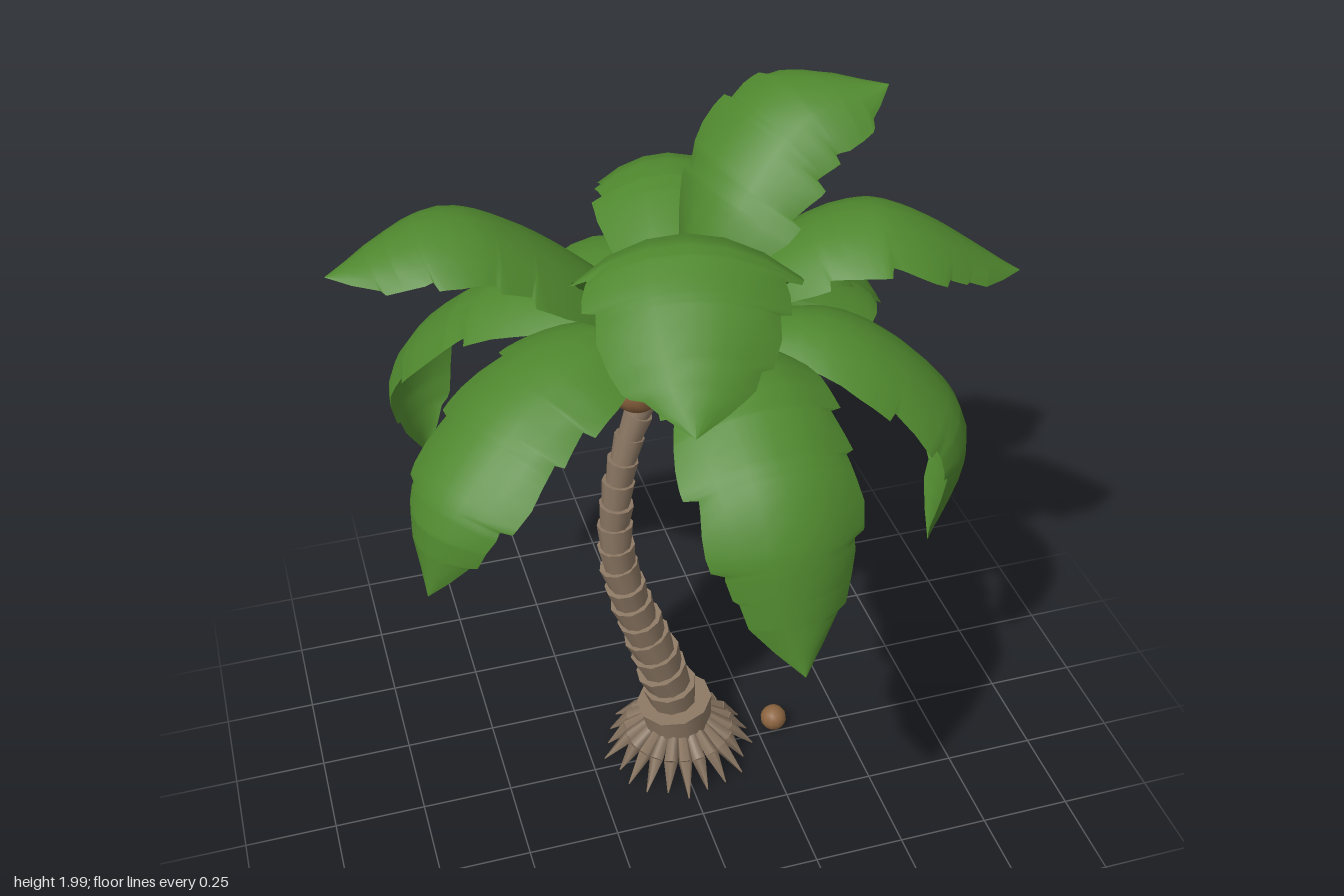
import * as THREE from 'three';

const V = (x, y, z) => new THREE.Vector3(x, y, z);
const CROWN = V(0, 1.41, -0.015);

// azimuth (degrees, 0 = +x, 90 = +z), midrib points [radius, height, sideways shift], half width, roll
const FRONDS = [
  { az: 180, rib: [[0.2, 1.66, 0.02], [0.52, 1.845, 0.03], [0.825, 1.76]], w: 0.2 },
  { az: 222, rib: [[0.2, 1.49], [0.53, 1.46], [0.82, 1.16], [0.77, 0.85]], w: 0.2 },
  { az: 151, rib: [[0.25, 1.59], [0.52, 1.55], [0.78, 1.34], [0.82, 1.12]], w: 0.2 },
  { az: 104, rib: [[0.12, 1.72], [0.42, 1.96], [0.82, 1.74]], w: 0.25 },
  { az: 87, rib: [[0.12, 1.52], [0.4, 1.635], [0.73, 1.46], [0.85, 1.07]], w: 0.21 },
  { az: 18, rib: [[0.2, 1.5], [0.42, 1.49], [0.72, 1.22], [0.66, 0.82]], w: 0.2 },
  { az: 10, rib: [[0.2, 1.67], [0.48, 1.77], [0.84, 1.58]], w: 0.19 },
  { az: -13, rib: [[0.13, 1.77, -0.04], [0.35, 1.97, -0.06], [0.58, 1.98]], w: 0.2, roll: 0.3 },
  { az: -76, rib: [[0.18, 1.56], [0.48, 1.67], [0.87, 1.48]], w: 0.205 },
  { az: -40, rib: [[0.2, 1.49], [0.53, 1.47], [0.82, 1.22], [0.76, 0.92]], w: 0.2 },
  { az: -98, rib: [[0.25, 1.51], [0.55, 1.44], [0.77, 1.12], [0.68, 0.81]], w: 0.185 },
];

const COCONUTS = [
  [0.11, 1.3, -0.14], [-0.015, 1.335, -0.14], [-0.105, 1.33, 0],
  [0.11, 1.295, -0.045], [-0.01, 1.32, 0.045], [0.04, 1.285, -0.09],
];

// half-width along the frond, 0..1
const PROFILE = [0.16, 0.34, 0.57, 0.78, 0.93, 1, 1, 0.95, 0.84, 0.58, 0];
function widthAt(t) {
  const f = Math.min(t * 10, 9.9999), i = Math.floor(f);
  return THREE.MathUtils.lerp(PROFILE[i], PROFILE[i + 1], f - i);
}

// arched leaf blade with torn, saw-toothed edges
function frondGeometry({ az, rib, w, roll = 0 }, seed) {
  const a = THREE.MathUtils.degToRad(az);
  const out = V(Math.cos(a), 0, Math.sin(a));
  const level = V(-Math.sin(a), 0, Math.cos(a));
  const curve = new THREE.CatmullRomCurve3([
    CROWN, ...rib.map(([r, y, s = 0]) => V(0, y, 0).addScaledVector(out, r).addScaledVector(level, s))]);

  const notches = [-1, 1].map(s => [0.46, 0.62, 0.76, 0.88].map(
    (t, i) => t + 0.035 * Math.sin(seed * 3.1 + i * 2.3 + s)));
  const rows = [];
  for (let i = 0; i <= 20; i++) rows.push(i / 20);
  notches.flat().forEach(t => rows.push(t - 0.004, t + 0.004));
  rows.sort((p, q) => p - q);

  const tear = (t, side) => {
    const last = notches[side].filter(n => n < t).pop();
    return last === undefined ? 1 : 1 - 0.15 * Math.max(0, 1 - (t - last) / 0.13);
  };

  const cols = 6, pos = [], index = [];
  rows.forEach((t, r) => {
    const p = curve.getPointAt(t), tan = curve.getTangentAt(t);
    const side = level.clone().applyAxisAngle(tan, roll * Math.min(1, t * 2));
    const up = side.clone().cross(tan).normalize();
    for (let c = 0; c <= cols; c++) {
      const v = c / cols * 2 - 1;
      const hw = w * widthAt(t) * (Math.abs(v) > 0.9 ? tear(t, v < 0 ? 0 : 1) : 1);
      const q = p.clone().addScaledVector(side, hw * v).addScaledVector(up, -0.4 * hw * v * v);
      pos.push(q.x, q.y, q.z);
      if (r && c) {
        const k = r * (cols + 1) + c, b = k - cols - 1;
        index.push(b - 1, b, k, b - 1, k, k - 1);
      }
    }
  });
  const g = new THREE.BufferGeometry();
  g.setAttribute('position', new THREE.Float32BufferAttribute(pos, 3));
  g.setIndex(index);
  g.computeVertexNormals();
  return g;
}

export function createModel() {
  const leaf = new THREE.MeshStandardMaterial({ name: 'leaf green', color: 0x4f872e, side: THREE.DoubleSide });
  const bark = new THREE.MeshStandardMaterial({ name: 'bark brown', color: 0x8b7763 });
  const shell = new THREE.MeshStandardMaterial({ name: 'coconut brown', color: 0x8c6440 });

  const model = new THREE.Group();
  model.name = 'palmTree';
  const add = (parent, name, geometry, material) => {
    const m = new THREE.Mesh(geometry, material);
    m.name = name;
    parent.add(m);
    return m;
  };
  const group = name => {
    const g = new THREE.Group();
    g.name = name;
    model.add(g);
    return g;
  };
  const Y = V(0, 1, 0);

  // trunk: stacked rings, each flaring at its top edge
  const trunk = group('trunk');
  const path = new THREE.CatmullRomCurve3([
    V(0.005, 0.125, -0.025), V(-0.005, 0.2, -0.025), V(-0.06, 0.4, -0.025), V(-0.125, 0.6, -0.025),
    V(-0.163, 0.8, -0.025), V(-0.155, 1, -0.025), V(-0.105, 1.2, -0.025), V(-0.01, 1.41, -0.02)]);
  const RINGS = 19;
  for (let i = 0; i < RINGS; i++) {
    const a = path.getPointAt(i / RINGS), b = path.getPointAt((i + 1) / RINGS);
    const t = i / (RINGS - 1);
    const r = i === 0 ? 0.108 : 0.035 + 0.046 * Math.pow(1 - t, 1.5);
    const ring = add(trunk, 'trunkRing',
      new THREE.CylinderGeometry(r, r * (i ? 0.83 : 0.9), a.distanceTo(b) * 1.12, 10), bark);
    ring.position.copy(a).add(b).multiplyScalar(0.5);
    ring.quaternion.setFromUnitVectors(Y, b.clone().sub(a).normalize());
    ring.rotateY(i * 0.9);
    ring.rotateX(0.07 * Math.sin(i * 2.1));
  }

  // roots: a fan of spikes around the foot
  const roots = group('roots');
  const ROOTS = 22;
  for (let i = 0; i < ROOTS; i++) {
    const a = i / ROOTS * Math.PI * 2, reach = 0.21 + 0.012 * Math.sin(i * 2.4);
    const at = (r, y) => V(0.008 + Math.cos(a) * r, y, -0.028 + Math.sin(a) * r);
    const from = at(0.085, 0.125), knee = at(0.145, 0.08), tip = at(reach, 0.01);
    [[from, knee, 0.016, 0.021], [knee, tip, 0.021, 0.002]].forEach(([p, q, r0, r1]) => {
      const m = add(roots, 'root', new THREE.CylinderGeometry(r1, r0, p.distanceTo(q), 5), bark);
      m.position.copy(p).add(q).multiplyScalar(0.5);
      m.quaternion.setFromUnitVectors(Y, q.clone().sub(p).normalize());
    });
  }

  // coconuts under the crown and one on the ground
  const nuts = group('coconuts');
  COCONUTS.forEach(p => add(nuts, 'coconut', new THREE.SphereGeometry(0.073, 14, 10), shell).position.set(...p));
  add(nuts, 'fallenCoconut', new THREE.SphereGeometry(0.038, 12, 8), shell).position.set(0.3, 0.04, -0.02);

  // crown of fronds
  const crown = group('crown');
  FRONDS.forEach((f, i) => add(crown, 'frond', frondGeometry(f, i + 1), leaf));

  return model;
}
